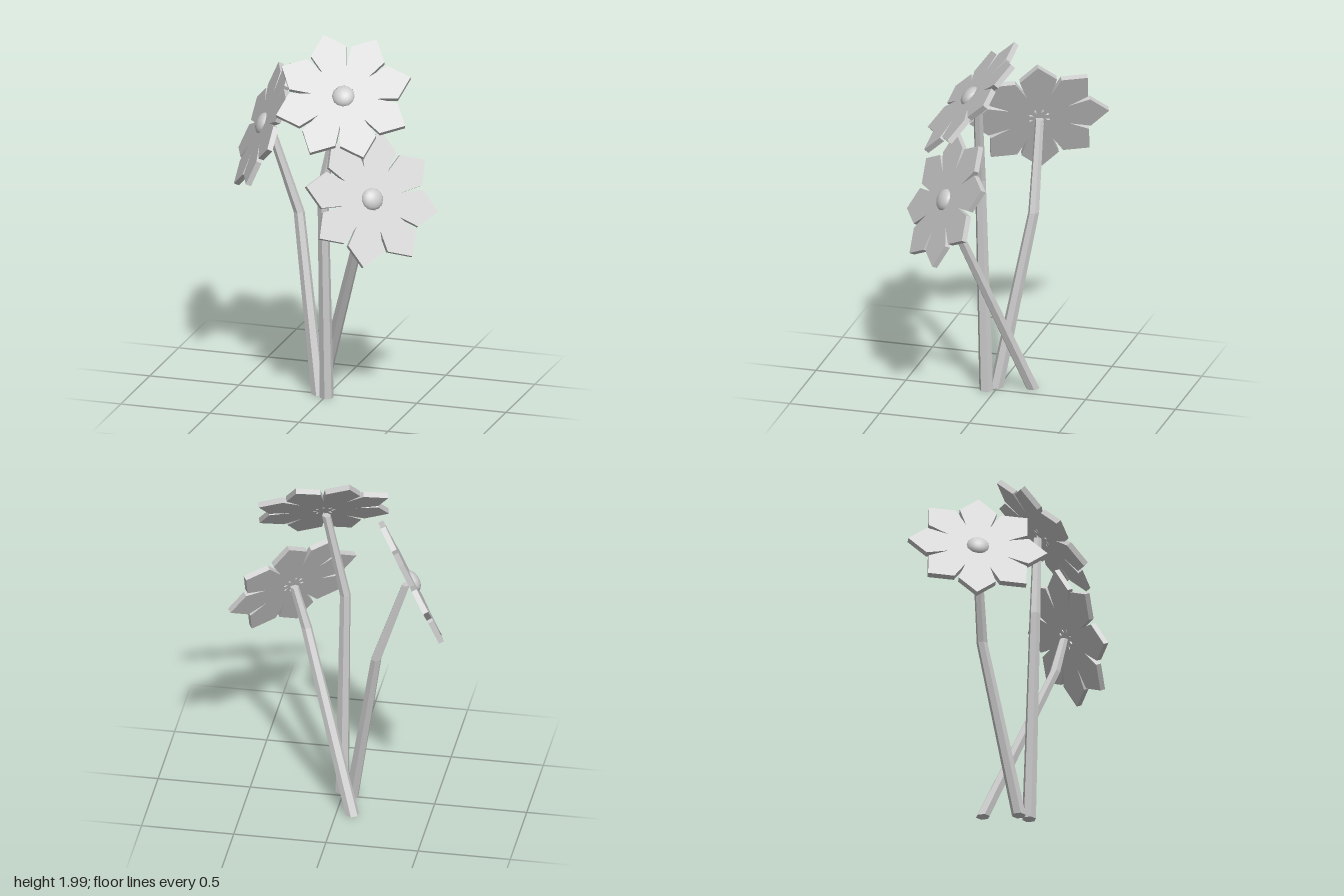
import * as THREE from 'three';

const PETALS = 8;
const THICK = 0.03;

// centre and facing of each bloom, first petal angle, and the stem path up to it
const FLOWERS = [
  { name: 'topFlower', centre: [0.12, 1.715, 0.1], normal: [0.2, 0.67, 0.71], turn: 18,
    stem: [[0.01, 0, 0.05], [0.0, 1.2, 0.085], [0.1, 1.69, 0.07]] },
  { name: 'leftFlower', centre: [0.305, 1.185, 0.185], normal: [0.57, 0.43, 0.7], turn: -17,
    stem: [[-0.085, 0, -0.18], [0.22, 0.95, 0.135], [0.29, 1.17, 0.165]] },
  { name: 'rightFlower', centre: [-0.395, 1.44, -0.125], normal: [-0.84, 0.4, 0.37], turn: -4,
    stem: [[-0.05, 0, 0.01], [-0.21, 0.96, -0.15], [-0.37, 1.43, -0.135]] },
];

const material = new THREE.MeshStandardMaterial({ color: 0xcccccc, flatShading: true });
const smooth = new THREE.MeshStandardMaterial({ color: 0xcccccc });

// Petal: narrow neck, widening blade, pointed tip, lying along +x
function petalGeometry() {
  const half = [[0, 0.013], [0.05, 0.013], [0.07, 0.04], [0.275, 0.1]];
  const pts = [
    ...half.map(([x, y]) => new THREE.Vector2(x, -y)),
    new THREE.Vector2(0.375, 0),
    ...half.slice().reverse().map(([x, y]) => new THREE.Vector2(x, y)),
  ];
  const geo = new THREE.ExtrudeGeometry(new THREE.Shape(pts), { depth: THICK, bevelEnabled: false });
  return geo.translate(0, 0, -THICK / 2);
}

// Six-sided tapering stem whose rings stay level and follow the path
function stemGeometry(path) {
  const geo = new THREE.CylinderGeometry(1, 1, 1, 6, path.length - 1);
  const pos = geo.attributes.position;
  const radii = [0.038, 0.03, 0.024];
  for (let i = 0; i < pos.count; i++) {
    const k = Math.round((pos.getY(i) + 0.5) * (path.length - 1));
    const [x, y, z] = path[k];
    pos.setXYZ(i, x + pos.getX(i) * radii[k], y, z + pos.getZ(i) * radii[k]);
  }
  geo.computeVertexNormals();
  return geo;
}

// Bloom facing +z: ring of petals around a low dome
function makeBloom(turn, petalGeo, domeGeo) {
  const bloom = new THREE.Group();
  bloom.name = 'bloom';
  for (let i = 0; i < PETALS; i++) {
    const petal = new THREE.Mesh(petalGeo, material);
    petal.name = 'petal';
    petal.rotation.z = THREE.MathUtils.degToRad(turn) + (i / PETALS) * Math.PI * 2;
    bloom.add(petal);
  }
  const dome = new THREE.Mesh(domeGeo, smooth);
  dome.name = 'flowerCentre';
  bloom.add(dome);
  return bloom;
}

export function createModel() {
  const model = new THREE.Group();
  model.name = 'flowerBunch';
  const petalGeo = petalGeometry();
  const domeGeo = new THREE.SphereGeometry(0.062, 12, 5, 0, Math.PI * 2, 0, Math.PI / 2)
    .rotateX(Math.PI / 2).scale(1, 1, 0.6).translate(0, 0, THICK / 2 - 0.005);

  for (const f of FLOWERS) {
    const flower = new THREE.Group();
    flower.name = f.name;

    const stem = new THREE.Mesh(stemGeometry(f.stem), material);
    stem.name = 'stem';
    flower.add(stem);

    const n = new THREE.Vector3(...f.normal).normalize();
    const u = new THREE.Vector3(n.z, 0, -n.x).normalize();
    const v = new THREE.Vector3().crossVectors(n, u);
    const bloom = makeBloom(f.turn, petalGeo, domeGeo);
    bloom.quaternion.setFromRotationMatrix(new THREE.Matrix4().makeBasis(u, v, n));
    bloom.position.set(...f.centre);
    flower.add(bloom);
    model.add(flower);
  }
  return model;
}
